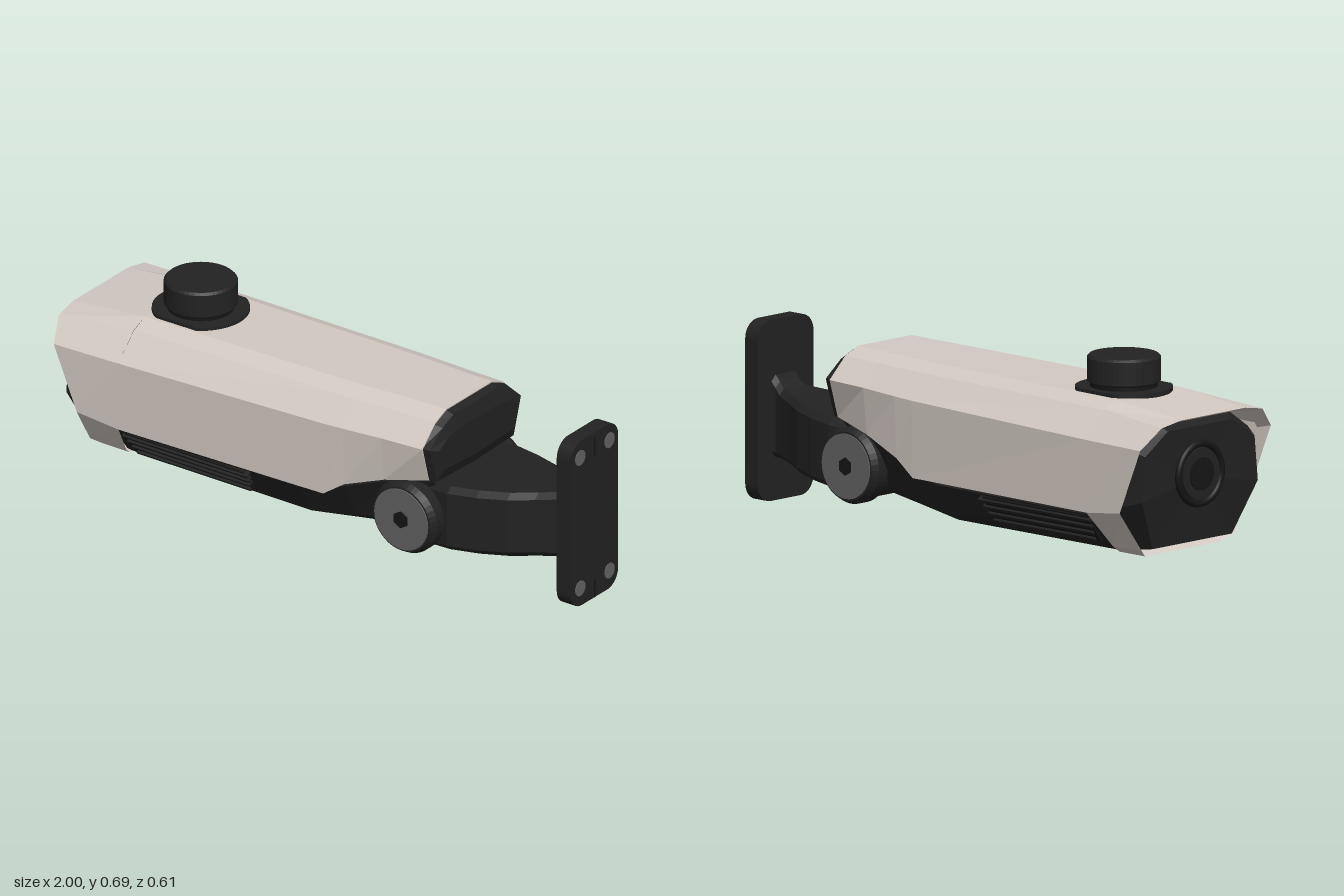
import * as THREE from 'three';

const mat = (name, color) => {
  const m = new THREE.MeshStandardMaterial({ color });
  m.name = name;
  return m;
};

// Loft through half rings of [x, y, z], each listed from the top centre round +z to the bottom centre
function loft(halves, capStart = true, capEnd = true) {
  const rings = halves.map(h => {
    const back = h.filter(p => p[2] > 0).reverse().map(([x, y, z]) => [x, y, -z]);
    return [...h, ...back];
  });
  const n = rings[0].length, pos = [];
  const tri = (a, b, c) => pos.push(...a, ...b, ...c);
  for (let i = 0; i < rings.length - 1; i++) {
    for (let j = 0; j < n; j++) {
      const k = (j + 1) % n, a = rings[i], b = rings[i + 1];
      tri(a[j], a[k], b[j]);
      tri(a[k], b[k], b[j]);
    }
  }
  const cap = (ring, flip) => {
    const c = [0, 1, 2].map(d => ring.reduce((s, p) => s + p[d], 0) / n);
    for (let j = 0; j < n; j++) {
      const k = (j + 1) % n;
      flip ? tri(c, ring[k], ring[j]) : tri(c, ring[j], ring[k]);
    }
  };
  if (capStart) cap(rings[0], true);
  if (capEnd) cap(rings[rings.length - 1], false);
  const g = new THREE.BufferGeometry();
  g.setAttribute('position', new THREE.Float32BufferAttribute(pos, 3));
  g.computeVertexNormals();
  return g;
}

// Half ring standing at one x, from [y, z] pairs
const at = (x, ...yz) => yz.map(([y, z]) => [x, y, z]);

export function createModel() {
  const model = new THREE.Group();
  const white = mat('warm white', 0xd2c9c2);
  const dark = mat('charcoal', 0x222222);
  const black = mat('black', 0x151515);
  const grey = mat('screw grey', 0x626262);
  white.side = THREE.DoubleSide;
  const add = (name, geo, m, x = 0, y = 0, z = 0, parent = model) => {
    const mesh = new THREE.Mesh(geo, m);
    mesh.name = name;
    mesh.position.set(x, y, z);
    parent.add(mesh);
    return mesh;
  };

  // Front collar with slanted visor edge and a turned-in lip
  const rim = [[-1, .545, 0], [-1, .545, .15], [-.995, .53, .235], [-.965, .46, .305],
    [-.872, .24, .305], [-.885, .105, .215], [-.865, .08, .18], [-.865, .08, 0]];
  const lip = rim.map(([x, y, z]) => [x + .045, .32 + (y - .32) * .93, z * .94]);
  const collarBack = [[-.71, .573, 0], [-.71, .573, .15], [-.71, .55, .21], [-.71, .462, .298],
    [-.71, .22, .295], [-.745, .1, .205], [-.75, .08, .18], [-.75, .08, 0]];
  add('frontCollar', loft([lip, rim, collarBack], false, false), white);

  // Long tapering shell over the top and sides
  const shellRing = (x, top, zt, ys, w, yb, wb) =>
    at(x, [top, 0], [top, zt], [top - .025, zt + .06], [ys, w], [yb, wb], [yb - .003, wb - .04], [yb + .03, 0]);
  add('upperShell', loft([
    shellRing(-.71, .573, .15, .462, .298, .22, .295),
    shellRing(.1, .58, .14, .477, .276, .22, .272),
    shellRing(.18, .581, .138, .48, .273, .275, .266),
    shellRing(.33, .583, .13, .487, .266, .33, .25),
    shellRing(.49, .585, .125, .49, .258, .362, .22),
  ]), white);

  // Rear end cap
  add('rearCap', loft([
    at(.485, [.583, 0], [.583, .125], [.555, .19], [.49, .255], [.362, .22], [.355, 0]),
    at(.515, [.57, 0], [.57, .12], [.545, .18], [.49, .25], [.362, .21], [.355, 0]),
    at(.53, [.52, 0], [.52, .11], [.51, .17], [.48, .22], [.4, .19], [.39, 0]),
  ]), dark);

  // Front face under the visor
  add('frontFace', loft([
    [[-.94, .5, 0], [-.94, .5, .15], [-.94, .43, .255], [-.94, .28, .27], [-.905, .11, .185], [-.905, .11, 0]],
    [[-.88, .53, 0], [-.88, .53, .17], [-.88, .45, .285], [-.84, .25, .287], [-.83, .1, .2], [-.83, .1, 0]],
  ]), dark);

  // Lens: bezel ring, barrel and glass facing -x
  const bezel = add('lensRing', new THREE.TorusGeometry(.1, .012, 10, 40), black, -.94, .34, 0);
  bezel.rotation.y = Math.PI / 2;
  const disc = (name, r, h, m, x) => {
    add(name, new THREE.CylinderGeometry(r, r, h, 36), m, x, .34, 0).rotation.z = Math.PI / 2;
  };
  disc('lensBarrel', .085, .02, dark, -.937);
  disc('lensGlass', .055, .01, black, -.946);

  // Dark belly under the shell
  add('belly', loft([
    at(-.745, [.26, 0], [.25, .25], [.21, .278], [.105, .2], [.083, .17], [.083, 0]),
    at(0, [.26, 0], [.25, .24], [.21, .262], [.1, .2], [.08, .16], [.08, 0]),
    at(.17, [.3, 0], [.29, .23], [.26, .255], [.125, .18], [.1, .14], [.1, 0]),
    at(.32, [.35, 0], [.34, .23], [.315, .235], [.16, .17], [.12, .13], [.12, 0]),
    at(.49, [.37, 0], [.37, .2], [.355, .2], [.3, .16], [.28, .13], [.28, 0]),
  ]), dark);

  for (const s of [1, -1]) {
    // Side vents: recessed panel and slats lying on the sloped belly
    const vent = new THREE.Group();
    vent.name = s > 0 ? 'leftVent' : 'rightVent';
    model.add(vent);
    const tilt = s * .6;
    add('ventPanel', new THREE.BoxGeometry(.48, .11, .008), black, -.46, .158, s * .242, vent).rotation.x = tilt;
    for (let i = 0; i < 4; i++) {
      const y = .123 + i * .024;
      add('ventSlat', new THREE.BoxGeometry(.46 + i * .015, .009, .022), dark,
        -.455, y, s * (.22 + (y - .123) * .68), vent).rotation.x = tilt;
    }

    // Pivot hub with bevelled rim, grey disc and bolt
    const hub = new THREE.Group();
    hub.name = s > 0 ? 'leftHub' : 'rightHub';
    hub.position.set(.41, .215, 0);
    hub.rotation.x = s * Math.PI / 2;
    model.add(hub);
    const profile = [[0, .17], [.118, .17], [.118, .19], [.127, .2], [.127, .24], [.114, .262], [0, .262]];
    const lathe = new THREE.LatheGeometry(profile.map(p => new THREE.Vector2(...p)), 40).toNonIndexed();
    lathe.computeVertexNormals();
    add('hubRim', lathe, dark, 0, 0, 0, hub);
    add('hubDisc', new THREE.CylinderGeometry(.108, .108, .008, 40), grey, 0, .262, 0, hub);
    add('hubBolt', new THREE.CylinderGeometry(.03, .03, .008, 6), black, 0, .266, 0, hub);
  }

  // Pivot barrel and tapering arm
  add('pivotBarrel', new THREE.CylinderGeometry(.115, .115, .38, 40), dark, .41, .215, 0).rotation.x = Math.PI / 2;
  const armRing = (x, t, b, w) => at(x, [t, 0], [t, w - .02], [t - .02, w], [b + .02, w], [b, w - .02], [b, 0]);
  add('arm', loft([
    armRing(.41, .33, .1, .185), armRing(.55, .345, .115, .202), armRing(.65, .35, .12, .18),
    armRing(.75, .357, .127, .145), armRing(.83, .364, .134, .1), armRing(.9, .375, .14, .07),
    armRing(.925, .395, .142, .062), armRing(.95, .43, .142, .07),
  ]), dark);

  // Wall plate with rounded corners
  const w = .13, h = .3, r = .06;
  const plate = new THREE.Shape();
  plate.absarc(w - r, h - r, r, 0, Math.PI / 2);
  plate.absarc(r - w, h - r, r, Math.PI / 2, Math.PI);
  plate.absarc(r - w, r - h, r, Math.PI, Math.PI * 1.5);
  plate.absarc(w - r, r - h, r, Math.PI * 1.5, Math.PI * 2);
  const plateGeo = new THREE.ExtrudeGeometry(plate, { depth: .057, bevelEnabled: false, curveSegments: 8 });
  add('wallPlate', plateGeo, dark, .94, .3, 0).rotation.y = Math.PI / 2;
  for (const y of [.065, .54]) {
    for (const z of [.08, -.08]) {
      add('plateScrew', new THREE.CylinderGeometry(.027, .027, .006, 20), grey, .997, y, z).rotation.z = Math.PI / 2;
    }
  }
  for (const y of [.035, .55]) add('plateNotch', new THREE.BoxGeometry(.004, .07, .006), black, .997, y, 0);

  // Top cap on a flange with flattened sides
  const flange = new THREE.Shape();
  for (let i = 0; i < 48; i++) {
    const a = i / 48 * Math.PI * 2;
    const x = Math.cos(a) * .16, z = THREE.MathUtils.clamp(Math.sin(a) * .16, -.137, .137);
    i ? flange.lineTo(x, z) : flange.moveTo(x, z);
  }
  const flangeGeo = new THREE.ExtrudeGeometry(flange, { depth: .035, bevelEnabled: false });
  add('topFlange', flangeGeo, dark, -.595, .55, 0).rotation.x = -Math.PI / 2;
  add('topNeck', new THREE.CylinderGeometry(.11, .11, .04, 40), black, -.595, .59, 0);
  const capProfile = [[0, .598], [.115, .598], [.121, .604], [.121, .682], [.113, .69], [0, .69]];
  const capGeo = new THREE.LatheGeometry(capProfile.map(p => new THREE.Vector2(...p)), 40).toNonIndexed();
  capGeo.computeVertexNormals();
  add('topCap', capGeo, dark, -.595, 0, 0);

  return model;
}
